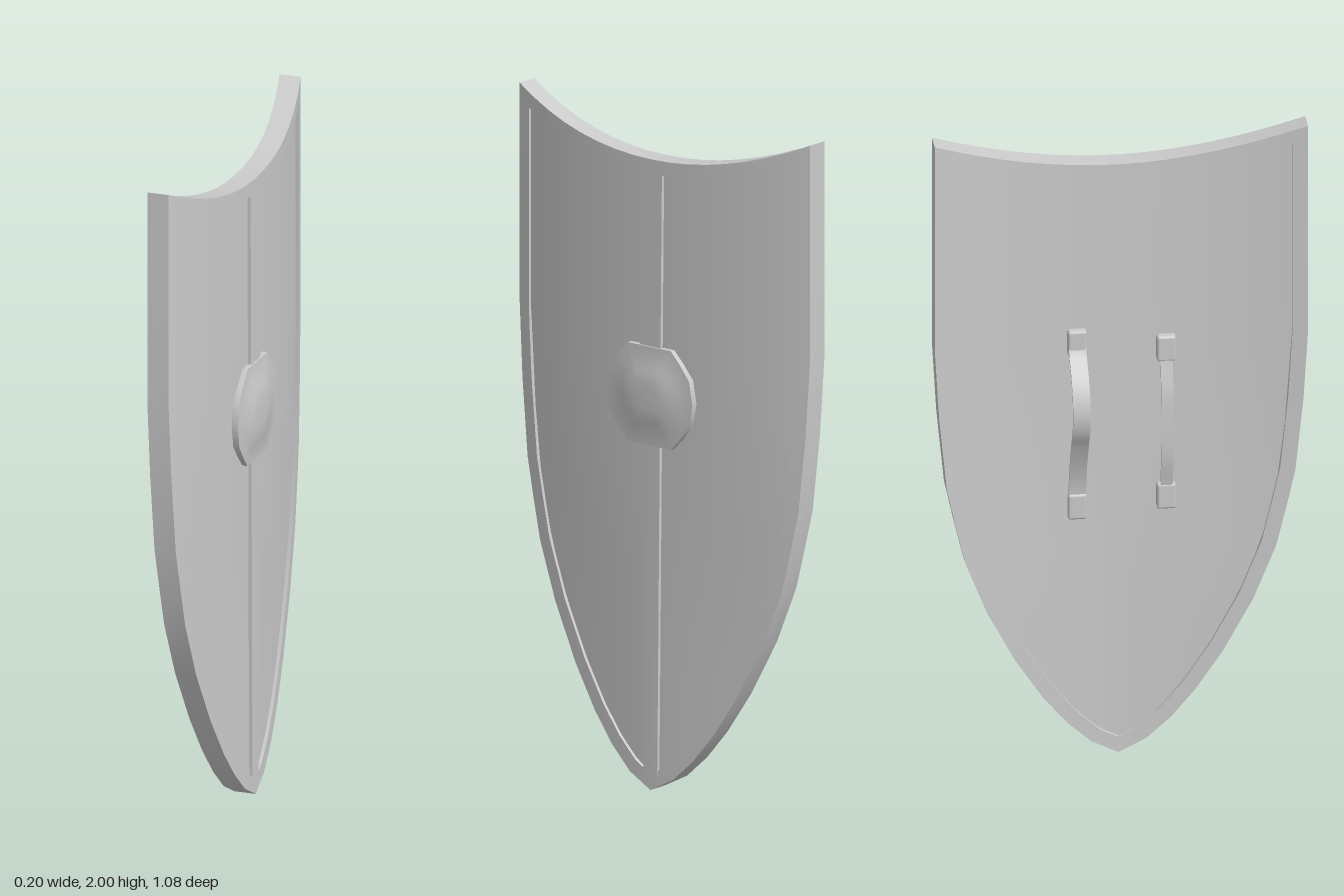
import * as THREE from 'three';
import { toCreasedNormals } from 'three/addons/utils/BufferGeometryUtils.js';
import { RoundedBoxGeometry } from 'three/addons/geometries/RoundedBoxGeometry.js';

const material = new THREE.MeshStandardMaterial({ color: 0xcccccc, side: THREE.DoubleSide });
const V = (x, y, z) => new THREE.Vector3(x, y, z);

// Skin a list of cross-sections (rows of points) into one surface
function skin(rows, closeRows = false, crease = 0.6) {
  const n = rows[0].length, index = [];
  const last = closeRows ? rows.length : rows.length - 1;
  for (let i = 0; i < last; i++) {
    const a = i * n, b = ((i + 1) % rows.length) * n;
    for (let j = 0; j < n - 1; j++) {
      index.push(a + j, b + j, b + j + 1, a + j, b + j + 1, a + j + 1);
    }
  }
  const geometry = new THREE.BufferGeometry().setFromPoints(rows.flat());
  geometry.setIndex(index);
  return toCreasedNormals(geometry, crease);
}

// Shield curvature: d is the height above the back of the rim
function bend(z, y, d) {
  const power = THREE.MathUtils.lerp(1.5, 2.3, THREE.MathUtils.smoothstep(y, 0.4, 1.3));
  return V(0.01 - 0.065 * Math.pow(Math.abs(z) / 0.54, power) + d, y, z);
}

// Half outline as [z, y], from the bottom tip to the upper corner
const side = [[0, 0.005], [0.08, 0.047], [0.15, 0.113], [0.22, 0.2], [0.3, 0.325], [0.385, 0.49],
  [0.45, 0.66], [0.478, 0.78], [0.504, 0.9], [0.527, 1.13], [0.54, 1.35], [0.54, 1.7], [0.54, 2]];
const topY = z => 1.88 + 0.12 * Math.pow(Math.abs(z) / 0.54, 2);

// Whole outline as a loop: up one side, across the top, down the other
function outline() {
  const loop = side.map(([z, y]) => new THREE.Vector2(z, y));
  for (let i = 1; i < 16; i++) {
    const z = 0.54 * (1 - i / 8);
    loop.push(new THREE.Vector2(z, topY(z)));
  }
  for (let i = side.length - 1; i > 0; i--) loop.push(new THREE.Vector2(-side[i][0], side[i][1]));
  return loop;
}

// Move a counter-clockwise loop inward by an even distance
function inset(loop, distance) {
  const normal = (a, b) => new THREE.Vector2(a.y - b.y, b.x - a.x).normalize();
  return loop.map((p, i) => {
    const n1 = normal(loop.at(i - 1), p);
    const n2 = normal(p, loop[(i + 1) % loop.length]);
    const miter = n1.clone().add(n2).normalize();
    return p.clone().addScaledVector(miter, distance / miter.dot(n1));
  });
}

function interpolate(points, z) {
  for (let i = 1; i < points.length; i++) {
    const a = points[i - 1], b = points[i];
    if (z <= b.x && b.x > a.x) return a.y + (b.y - a.y) * Math.max(0, (z - a.x) / (b.x - a.x));
  }
  return points.at(-3).y;
}

const BORDER = 0.043, RIM = 0.065;

function rimGeometry(outer, inner) {
  return skin(outer.map((p, i) => {
    const q = inner[i];
    return [bend(p.x, p.y, 0), bend(p.x, p.y, RIM), bend(q.x, q.y, RIM),
      bend(q.x, q.y, 0), bend(p.x, p.y, 0)];
  }), true);
}

// Curved sheet that fills the inside of the rim
function panelGeometry(inner, depth, flip) {
  const half = inner.slice(0, side.length);
  const width = half.at(-1).x;
  const rows = [];
  for (let i = 0; i <= 48; i++) {
    const z = width * (i / 24 - 1) * (flip ? -1 : 1);
    const low = interpolate(half, Math.abs(z) * 0.9999);
    const high = topY(z) - BORDER;
    const row = [];
    for (let j = 0; j <= 16; j++) row.push(bend(z, low + (high - low) * j / 16, depth));
    rows.push(row);
  }
  return skin(rows);
}

// Raised strip down the middle of the face
function ribGeometry() {
  const rows = [];
  for (let i = 0; i <= 16; i++) {
    const t = i / 16, y = 0.05 + 1.8 * t, w = 0.025 + 0.018 * t;
    rows.push([[w, 0.05], [w, RIM], [0, RIM], [-w, RIM], [-w, 0.05]].map(([z, d]) => bend(z, y, d)));
  }
  return skin(rows);
}

// Flattened boss: concentric rings of a cut-off round outline
function bossGeometry() {
  const quarter = [[0.16, 0], [0.148, 0.068], [0.115, 0.11], [0.08, 0.147]];
  const upper = [...quarter, ...quarter.map(([z, y]) => [-z, y]).reverse()];
  const ring = [...upper, ...upper.slice(1, -1).map(([z, y]) => [-z, -y]), upper[0]];
  const levels = [[1, 0.055], [1, 0.08], [0.66, 0.084], [0.5, 0.094], [0.25, 0.096], [0, 0.097]];
  return skin(levels.map(([s, x]) => ring.map(([z, y]) => V(x, 1.177 + y * s, -z * s))), false, 0.7);
}

// Flat band following a path of [x, y] points, with a pad at each end
function createStrap(name, z, path, width) {
  const group = new THREE.Group();
  group.name = name;
  const curve = new THREE.CatmullRomCurve3(path.map(([x, y]) => V(x, y, z)));
  const rows = [];
  for (let i = 0; i <= 32; i++) {
    const p = curve.getPoint(i / 32), t = curve.getTangent(i / 32);
    const corner = (s, w) => V(p.x - t.y * s * 0.004, p.y + t.x * s * 0.004, z + w * width / 2);
    rows.push([corner(1, 1), corner(1, -1), corner(-1, -1), corner(-1, 1), corner(1, 1)]);
  }
  add(group, 'band', skin(rows));
  for (const [x, y] of [path[0], path.at(-1)]) {
    add(group, 'pad', new RoundedBoxGeometry(0.03, 0.08, 0.055, 2, 0.008)).position.set(x + 0.002, y, z);
  }
  return group;
}

function add(group, name, geometry) {
  const mesh = new THREE.Mesh(geometry, material);
  mesh.name = name;
  group.add(mesh);
  return mesh;
}

export function createModel() {
  const shield = new THREE.Group();
  shield.name = 'shield';
  const outer = outline(), inner = inset(outer, BORDER);

  add(shield, 'rim', rimGeometry(outer, inner));
  add(shield, 'frontPanel', panelGeometry(inner, 0.055, true));
  add(shield, 'backPanel', panelGeometry(inner, 0.01, false));
  add(shield, 'centreRib', ribGeometry());
  add(shield, 'boss', bossGeometry());

  // Arm loop and hand grip on the back
  shield.add(createStrap('armStrap', -0.12, [[0.008, 1.32], [-0.01, 1.285], [-0.055, 1.24], [-0.085, 1.19],
    [-0.096, 1.13], [-0.085, 1.075], [-0.055, 1.02], [-0.02, 0.94], [0, 0.87], [0.008, 0.8]], 0.05));
  shield.add(createStrap('handGrip', 0.137, [[0.004, 1.29], [-0.006, 1.24], [-0.022, 1.16],
    [-0.026, 1.06], [-0.022, 0.95], [-0.006, 0.87], [0.004, 0.82]], 0.035));
  return shield;
}
